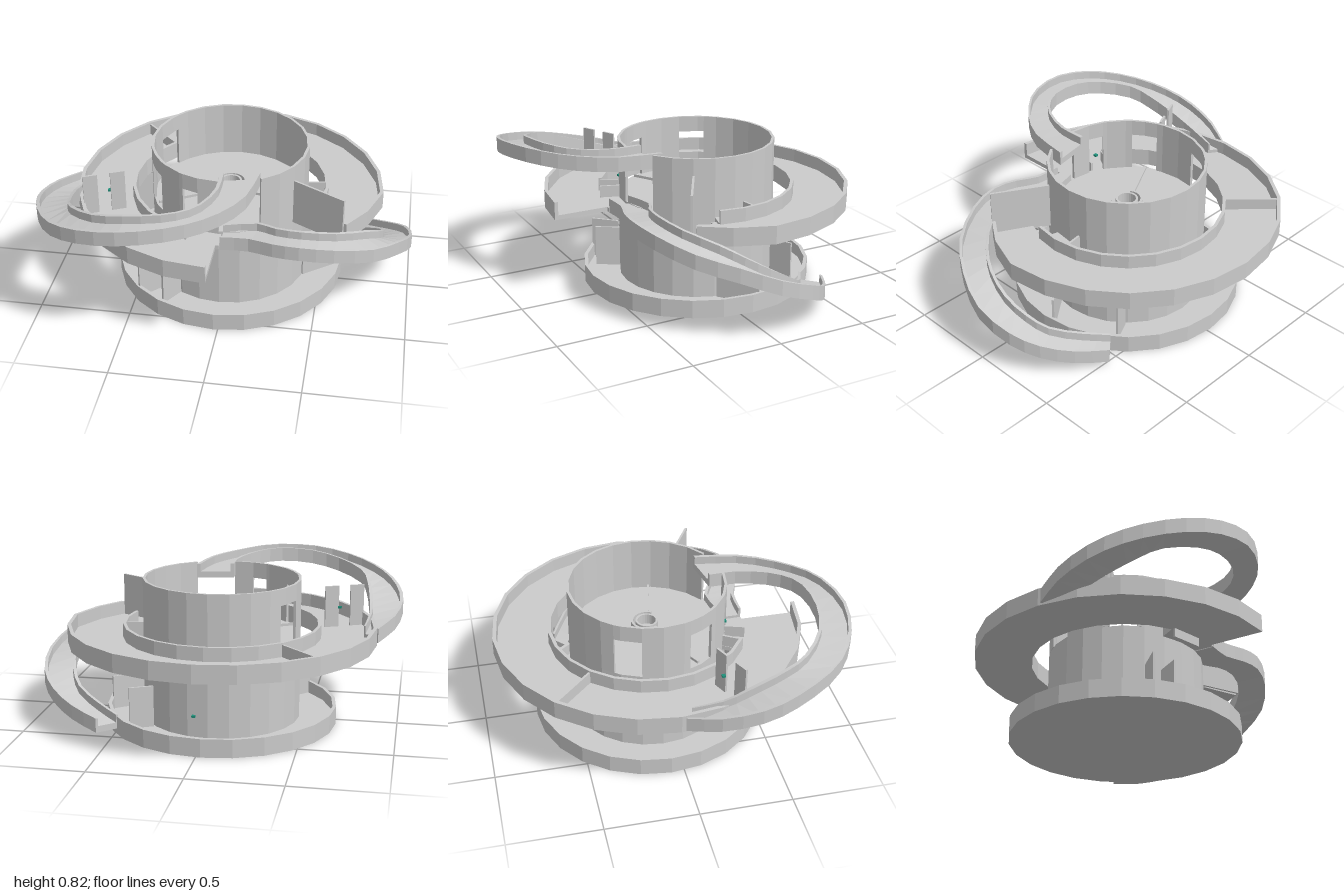
import * as THREE from 'three';

const CX = -0.025, CZ = -0.07; // shared axis of the tower and trays
const RAD = Math.PI / 180;

export function createModel() {
  const model = new THREE.Group();
  const grey = new THREE.MeshStandardMaterial({ color: 0xcccccc, flatShading: true, side: THREE.DoubleSide });
  const green = new THREE.MeshStandardMaterial({ color: 0x1f8f7a });

  const add = (name, geometry, material = grey) => {
    const mesh = new THREE.Mesh(geometry, material);
    mesh.name = name;
    model.add(mesh);
    return mesh;
  };

  // Ring sector around the axis; degrees run from the front (+z) towards +x
  const sector = (name, r0, r1, y0, y1, a0, a1) => {
    const radius = (r, a) => (typeof r === 'function' ? r(a) : r);
    const angles = [a0];
    for (let a = Math.floor(a0 / 15) * 15 + 15; a < a1; a += 15) angles.push(a);
    angles.push(a1);
    const at = (r, a) => new THREE.Vector2(
      radius(r, a) * Math.sin(a * RAD), -radius(r, a) * Math.cos(a * RAD));
    const outline = angles.map(a => at(r1, a))
      .concat(angles.slice().reverse().map(a => at(r0, a)));
    const g = new THREE.ExtrudeGeometry(new THREE.Shape(outline), { depth: y1 - y0, bevelEnabled: false });
    g.rotateX(-Math.PI / 2);
    g.translate(CX, y0, CZ);
    return add(name, g);
  };

  const disc = (name, r, y0, y1) => {
    const g = new THREE.CylinderGeometry(r, r, y1 - y0, 24);
    return add(name, g.translate(CX, (y0 + y1) / 2, CZ));
  };

  // Upright thin wall between two ground points
  const wall = (name, x0, z0, x1, z1, y0, y1, t = 0.012) => {
    const m = add(name, new THREE.BoxGeometry(Math.hypot(x1 - x0, z1 - z0), y1 - y0, t));
    m.position.set((x0 + x1) / 2, (y0 + y1) / 2, (z0 + z1) / 2);
    m.rotation.y = -Math.atan2(z1 - z0, x1 - x0);
    return m;
  };
  const radialWall = (name, a, r0, r1, y0, y1) => {
    const s = Math.sin(a * RAD), c = Math.cos(a * RAD);
    return wall(name, CX + r0 * s, CZ + r0 * c, CX + r1 * s, CZ + r1 * c, y0, y1);
  };

  // U-shaped channel swept between two edge curves; rows are [ax, az, bx, bz, y]
  const channel = (name, rows) => {
    const edgeA = new THREE.CatmullRomCurve3(rows.map(p => new THREE.Vector3(p[0], p[4], p[1])));
    const edgeB = new THREE.CatmullRomCurve3(rows.map(p => new THREE.Vector3(p[2], p[4], p[3])));
    const h = 0.08, f = 0.035, w = 0.1;
    const profile = [[0, 0], [1, 0], [1, h], [1 - w, h], [1 - w, f], [w, f], [w, h], [0, h]];
    const steps = 22, loops = [];
    for (let i = 0; i <= steps; i++) {
      const a = edgeA.getPoint(i / steps), b = edgeB.getPoint(i / steps);
      loops.push(profile.map(([t, dy]) => {
        const p = a.clone().lerp(b, t);
        p.y += dy;
        return p;
      }));
    }
    const pos = [];
    const quad = (a, b, c, d) => [a, b, c, a, c, d].forEach(p => pos.push(p.x, p.y, p.z));
    for (let i = 0; i < steps; i++) {
      for (let k = 0; k < 8; k++) {
        const n = (k + 1) % 8;
        quad(loops[i][k], loops[i][n], loops[i + 1][n], loops[i + 1][k]);
      }
    }
    const s = loops[0], e = loops[steps];
    [[0, 1, 4, 5], [1, 2, 3, 4], [0, 5, 6, 7]].forEach(([a, b, c, d]) => {
      quad(e[a], e[b], e[c], e[d]);
      quad(s[d], s[c], s[b], s[a]);
    });
    const g = new THREE.BufferGeometry();
    g.setAttribute('position', new THREE.Float32BufferAttribute(pos, 3));
    g.computeVertexNormals();
    add(name, g);
  };

  // Base tray
  disc('baseFloor', 0.635, 0, 0.03);
  sector('baseRim', 0.62, 0.64, 0, 0.1, 0, 360);

  // Tower: closed below, with doorways and a front notch above
  sector('towerLower', 0.42, 0.435, 0.02, 0.5, 0, 360);
  disc('towerFloor', 0.425, 0.47, 0.5);
  [[30, 235, 0.5], [235, 255, 0.72], [255, 290, 0.5], [290, 310, 0.72],
    [310, 333, 0.5], [333, 345, 0.72], [345, 360, 0.5]]
    .forEach(([a0, a1, y0]) => sector('towerWall', 0.42, 0.435, y0, 0.81, a0, a1));

  // Centre spindle and low floor dividers
  sector('spindle', 0.05, 0.062, 0.5, 0.56, 0, 360);
  sector('spindleGuard', 0.075, 0.087, 0.5, 0.56, 60, 300);
  radialWall('floorDivider', 77, 0.08, 0.42, 0.5, 0.515);
  radialWall('floorDivider', -61, 0.08, 0.42, 0.5, 0.515);

  // Upper ring tray, open at the front right and narrowing to its end
  const outer = a => (a < -270 ? 0.85 - 0.09 * (-270 - a) / 28 : 0.85);
  sector('ringFloor', 0.535, outer, 0.46, 0.485, -298, 0);
  sector('ringOuterRim', a => outer(a) - 0.02, outer, 0.46, 0.56, -298, 0);
  sector('ringInnerRim', 0.53, 0.548, 0.46, 0.56, -285, -30);
  radialWall('ringDivider', -135, 0.54, 0.84, 0.46, 0.55);

  // Bridges between tower and ring
  sector('frontBridge', 0.43, 0.545, 0.46, 0.485, -31, 2);
  sector('sideBridge', 0.43, 0.545, 0.46, 0.485, -285, -262);
  [-30, -18].forEach(a => radialWall('bridgeRail', a, 0.43, 0.54, 0.46, 0.55));
  radialWall('bridgeRail', 98, 0.43, 0.54, 0.46, 0.55);
  wall('bridgeBracket', -0.3, 0.4, -0.13, 0.45, 0.41, 0.47);
  wall('bridgeBracket', 0.42, 0.06, 0.5, 0.06, 0.41, 0.47, 0.04);

  // Partition walls on the ring
  radialWall('ringEndWall', 60, 0.435, 0.755, 0.46, 0.72);
  radialWall('ringDoorJamb', -65, 0.6, 0.68, 0.48, 0.72);
  radialWall('ringDoorJamb', -65, 0.75, 0.83, 0.48, 0.72);

  // Partition walls on the base
  radialWall('basePartition', -45, 0.47, 0.63, 0.02, 0.26);
  radialWall('basePartition', -32, 0.43, 0.575, 0.02, 0.26);
  wall('basePartition', 0.4, 0.03, 0.595, -0.12, 0.02, 0.22);
  wall('basePartition', 0.3, -0.37, 0.42, -0.43, 0.02, 0.26);

  // Small door handles
  [[-0.65, 0.6, 0.2], [-0.18, 0.6, 0.33], [0.42, 0.15, 0], [0.05, 0.15, -0.51]]
    .forEach(([x, y, z]) => add('doorHandle', new THREE.BoxGeometry(0.02, 0.01, 0.02), green).position.set(x, y, z));

  // Ramp from the tower top down to the ring
  channel('upperRamp', [
    [-0.03, 0.28, 0.18, 0.24, 0.73], [-0.03, 0.44, 0.13, 0.5, 0.73],
    [-0.1, 0.62, 0, 0.7, 0.735], [-0.22, 0.72, -0.17, 0.84, 0.745],
    [-0.42, 0.75, -0.42, 0.91, 0.735], [-0.6, 0.71, -0.65, 0.87, 0.7],
    [-0.75, 0.58, -0.83, 0.75, 0.655], [-0.79, 0.45, -0.95, 0.55, 0.61],
    [-0.81, 0.3, -1, 0.35, 0.56], [-0.82, 0.17, -0.97, 0.13, 0.51],
    [-0.8, 0, -0.88, -0.05, 0.47],
  ]);

  // Ramp from the front bridge down to the base
  channel('lowerRamp', [
    [0, 0.475, 0, 0.35, 0.46], [0.15, 0.475, 0.18, 0.31, 0.465],
    [0.28, 0.52, 0.28, 0.36, 0.475], [0.42, 0.54, 0.42, 0.38, 0.48],
    [0.6, 0.5, 0.6, 0.33, 0.455], [0.8, 0.38, 0.75, 0.2, 0.4],
    [0.93, 0.2, 0.81, 0.1, 0.34], [1, 0, 0.83, -0.03, 0.26],
    [0.97, -0.2, 0.8, -0.15, 0.185], [0.88, -0.33, 0.74, -0.25, 0.12],
    [0.74, -0.44, 0.6, -0.36, 0.065], [0.58, -0.53, 0.48, -0.44, 0.03],
  ]);

  return model;
}
